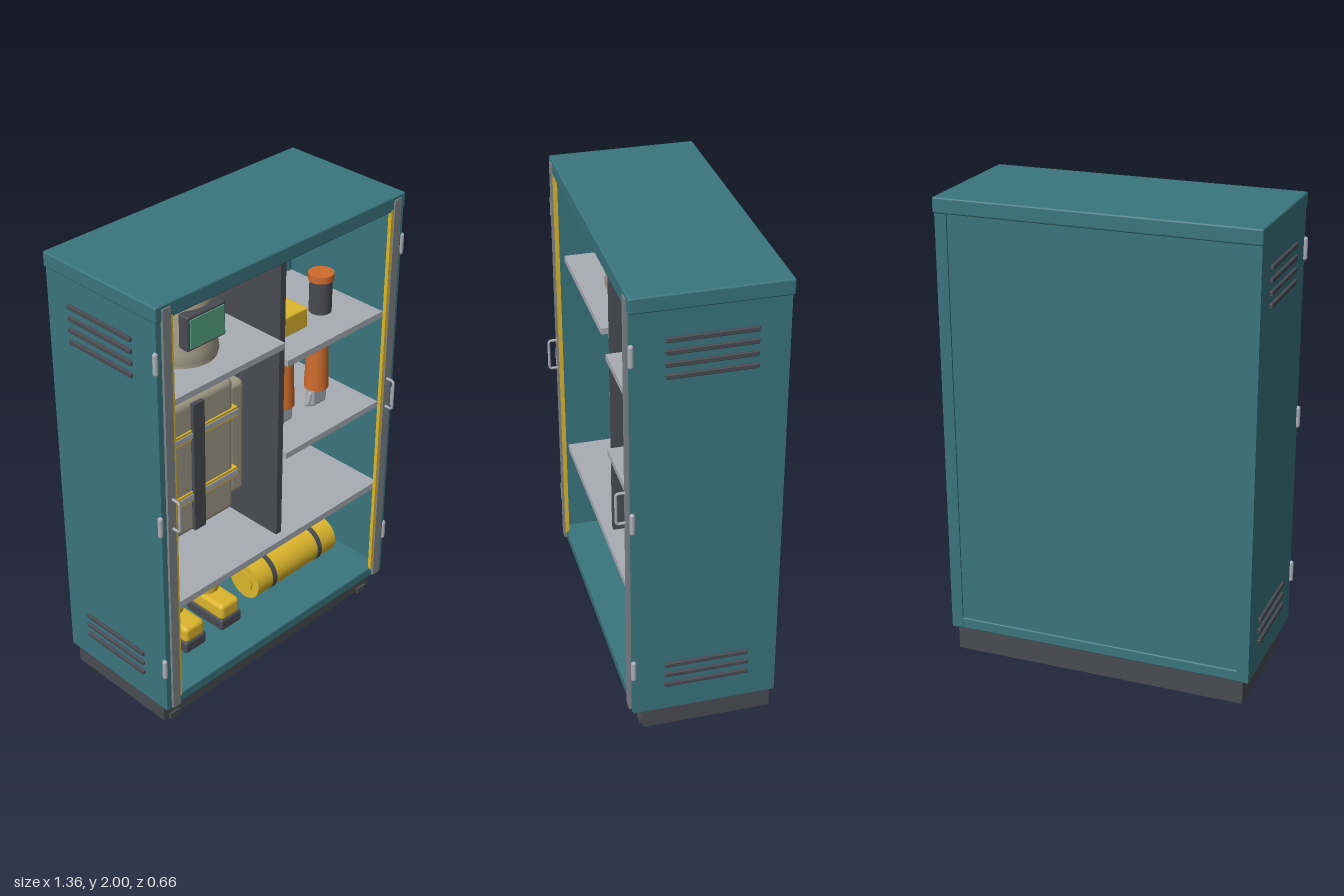
import * as THREE from 'three';
import { RoundedBoxGeometry } from 'three/addons/geometries/RoundedBoxGeometry.js';

export function createModel() {
  const root = new THREE.Group();
  root.name = 'equipmentCabinet';
  const mat = (name, color, side = THREE.FrontSide) => {
    const m = new THREE.MeshStandardMaterial({ color, side });
    m.name = name;
    return m;
  };
  const teal = mat('tealPaint', 0x3a757e);
  const dark = mat('darkGrey', 0x4a4b52);
  const steel = mat('steel', 0xa9adb4);
  const frame = mat('frameGrey', 0x7f848a);
  const canvas = mat('canvas', 0xa39c88);
  const yellow = mat('yellow', 0xdcb62c);
  const orange = mat('orange', 0xcf6c2c);
  const green = mat('visorGreen', 0x57a583);

  const add = (name, geo, m, x = 0, y = 0, z = 0, parent = root) => {
    const mesh = new THREE.Mesh(geo, m);
    mesh.name = name;
    mesh.position.set(x, y, z);
    parent.add(mesh);
    return mesh;
  };
  // Box given by its limits on each axis, optionally rounded
  const box = (name, m, x0, x1, y0, y1, z0, z1, r = 0, parent = root) => {
    const s = [x1 - x0, y1 - y0, z1 - z0];
    const geo = r ? new RoundedBoxGeometry(...s, 3, r) : new THREE.BoxGeometry(...s);
    return add(name, geo, m, (x0 + x1) / 2, (y0 + y1) / 2, (z0 + z1) / 2, parent);
  };
  const rod = (r0, r1, h, n = 28) => new THREE.CylinderGeometry(r0, r1, h, n);
  const group = (name, x = 0, y = 0, z = 0) => {
    const g = new THREE.Group();
    g.name = name;
    g.position.set(x, y, z);
    root.add(g);
    return g;
  };

  // Cabinet shell
  box('plinth', dark, -0.64, 0.64, 0.004, 0.11, -0.31, 0.23);
  box('floor', teal, -0.665, 0.665, 0.108, 0.157, -0.318, 0.28, 0.006);
  box('backPanel', teal, -0.64, 0.64, 0.13, 1.95, -0.312, -0.295);
  box('lid', teal, -0.67, 0.67, 1.935, 2, -0.33, 0.285, 0.008);
  for (const s of [-1, 1]) {
    const side = (name, m, a, b, ...rest) =>
      box(name, m, Math.min(s * a, s * b), Math.max(s * a, s * b), ...rest);
    side('sideWall', teal, 0.635, 0.665, 0.11, 1.95, -0.32, 0.28);
    side('backPost', teal, 0.615, 0.66, 0.12, 1.94, -0.32, -0.29);
    side('foot', dark, 0.56, 0.61, 0, 0.025, 0.19, 0.24);
    side('doorFrame', frame, 0.6, 0.64, 0.115, 1.985, 0.27, 0.291);
    side('doorSeal', yellow, 0.587, 0.6, 0.15, 1.945, 0.27, 0.286);
    // Louvre slats
    for (const y of [1.82, 1.77, 1.72, 1.67, 0.338, 0.288, 0.238])
      side('ventSlat', dark, 0.66, 0.676, y - 0.01, y + 0.01, -0.2, 0.15, 0.004);
    // Hinges
    for (const y of [1.77, 1.05, 0.335])
      add('hinge', new THREE.CapsuleGeometry(0.011, 0.075, 4, 14), steel, s * 0.668, y, 0.277);
    // Door handle
    const pts = [[1.025, 0.285], [1.025, 0.32], [1.032, 0.327], [1.155, 0.327], [1.162, 0.32], [1.162, 0.285]];
    const path = new THREE.CurvePath();
    const v = pts.map(([y, z]) => new THREE.Vector3(s * 0.615, y, z));
    for (let i = 1; i < v.length; i++) path.add(new THREE.LineCurve3(v[i - 1], v[i]));
    add('doorHandle', new THREE.TubeGeometry(path, 60, 0.006, 10), steel);
  }

  // Interior fittings
  box('divider', dark, 0.04, 0.07, 0.6, 1.915, -0.295, 0.21);
  box('ceilingRail', dark, -0.51, 0.51, 1.905, 1.937, 0.18, 0.22);
  box('lowerShelf', steel, -0.635, 0.635, 0.572, 0.603, -0.295, 0.25);
  box('hoodShelf', steel, -0.635, 0.04, 1.525, 1.552, -0.295, 0.24);
  for (const y of [1.425, 0.984])
    box('rightShelf', steel, 0.07, 0.635, y, y + 0.028, -0.295, 0.23);
  add('hangingRail', rod(0.011, 0.011, 0.66, 14), steel, -0.3, 1.46, 0).rotation.z = Math.PI / 2;

  // Hanging suit
  const suit = group('suit', -0.285, 0, 0);
  box('torso', canvas, -0.215, 0.215, 0.73, 1.375, -0.1, 0.075, 0.035, suit);
  for (const s of [-1, 1]) {
    box('sleeve', canvas, s * 0.25 - 0.045, s * 0.25 + 0.045, 0.78, 1.32, -0.075, 0.05, 0.025, suit);
    add('hangerArm', rod(0.006, 0.006, 0.13, 8), steel, s * 0.062, 1.4, 0, suit).rotation.z = s * 1.2;
  }
  add('hangerHook', new THREE.TorusGeometry(0.018, 0.004, 8, 20), steel, 0, 1.447, 0, suit);
  for (const y of [0.918, 1.212]) {
    box('reflectiveBand', yellow, -0.22, 0.22, y - 0.023, y + 0.023, -0.104, 0.082, 0, suit);
    box('reflectiveStripe', steel, -0.222, 0.222, y - 0.012, y + 0.012, -0.106, 0.086, 0, suit);
  }
  box('frontStrap', dark, -0.03, 0.03, 0.75, 1.355, 0.07, 0.092, 0, suit);

  // Protective hood
  const hood = group('hood', -0.285, 1.552, 0);
  const profile = [[0.135, 0.012], [0.145, 0.02], [0.14, 0.06], [0.128, 0.15], [0.119, 0.225],
    [0.11, 0.272], [0.092, 0.305], [0.06, 0.326], [0.028, 0.333], [0, 0.334]];
  add('hoodShell', new THREE.LatheGeometry(profile.map(p => new THREE.Vector2(...p)), 40),
    mat('canvas', 0xa39c88, THREE.DoubleSide), 0, 0, 0, hood).material = canvas;
  add('hoodBase', rod(0.14, 0.14, 0.02, 40), canvas, 0, 0.012, 0, hood);
  add('hoodSeam', new THREE.TorusGeometry(0.107, 0.003, 6, 40), canvas, 0, 0.28, 0, hood).rotation.x = Math.PI / 2;
  box('visorFrame', dark, -0.1, 0.1, 0.09, 0.238, 0.09, 0.142, 0.008, hood);
  box('visor', green, -0.088, 0.088, 0.102, 0.226, 0.138, 0.147, 0, hood);

  // Box and canister on the upper shelf
  box('supplyBox', yellow, 0.14, 0.32, 1.453, 1.545, -0.03, 0.1, 0.008);
  add('canister', rod(0.048, 0.048, 0.15), dark, 0.46, 1.528, 0.04);
  add('canisterCap', rod(0.054, 0.054, 0.03), orange, 0.46, 1.615, 0.04);

  // Hanging gloves
  for (const x of [0.23, 0.44]) {
    const glove = group('glove', x, 0, 0.05);
    add('hangingPeg', rod(0.017, 0.017, 0.06, 14), steel, 0, 1.33, 0, glove);
    add('cuff', rod(0.045, 0.053, 0.215), orange, 0, 1.208, 0, glove);
    box('palm', steel, -0.045, 0.045, 1.015, 1.11, -0.025, 0.025, 0.015, glove);
    [0.963, 0.952, 0.952, 0.968].forEach((y, i) => {
      const h = 1.03 - y - 0.02;
      add('finger', new THREE.CapsuleGeometry(0.009, h, 4, 10), steel, -0.033 + i * 0.022, y + 0.01 + h / 2, 0, glove);
    });
    add('thumb', new THREE.CapsuleGeometry(0.012, 0.045, 4, 10), steel, -0.05, 1.055, 0.005, glove).rotation.z = -0.3;
  }

  // Boots
  for (const x of [-0.35, -0.14]) {
    const boot = group('boot', x, 0, 0);
    box('sole', dark, -0.06, 0.06, 0.157, 0.215, -0.1, 0.125, 0.012, boot);
    box('bootFoot', yellow, -0.055, 0.055, 0.205, 0.285, -0.095, 0.12, 0.02, boot);
    add('bootShaft', rod(0.061, 0.055, 0.2), yellow, 0, 0.356, -0.035, boot);
  }

  // Strapped roll
  const roll = group('roll', 0.292, 0.246, 0.02);
  roll.rotation.z = Math.PI / 2;
  add('rollBody', rod(0.087, 0.087, 0.5, 36), yellow, 0, 0, 0, roll);
  for (const s of [-1, 1]) {
    add('rollStrap', rod(0.09, 0.09, 0.024, 36), dark, 0, s * 0.145, 0, roll);
    add('rollEnd', rod(0.05, 0.05, 0.01, 28), yellow, 0, s * 0.252, 0, roll);
  }
  return root;
}
